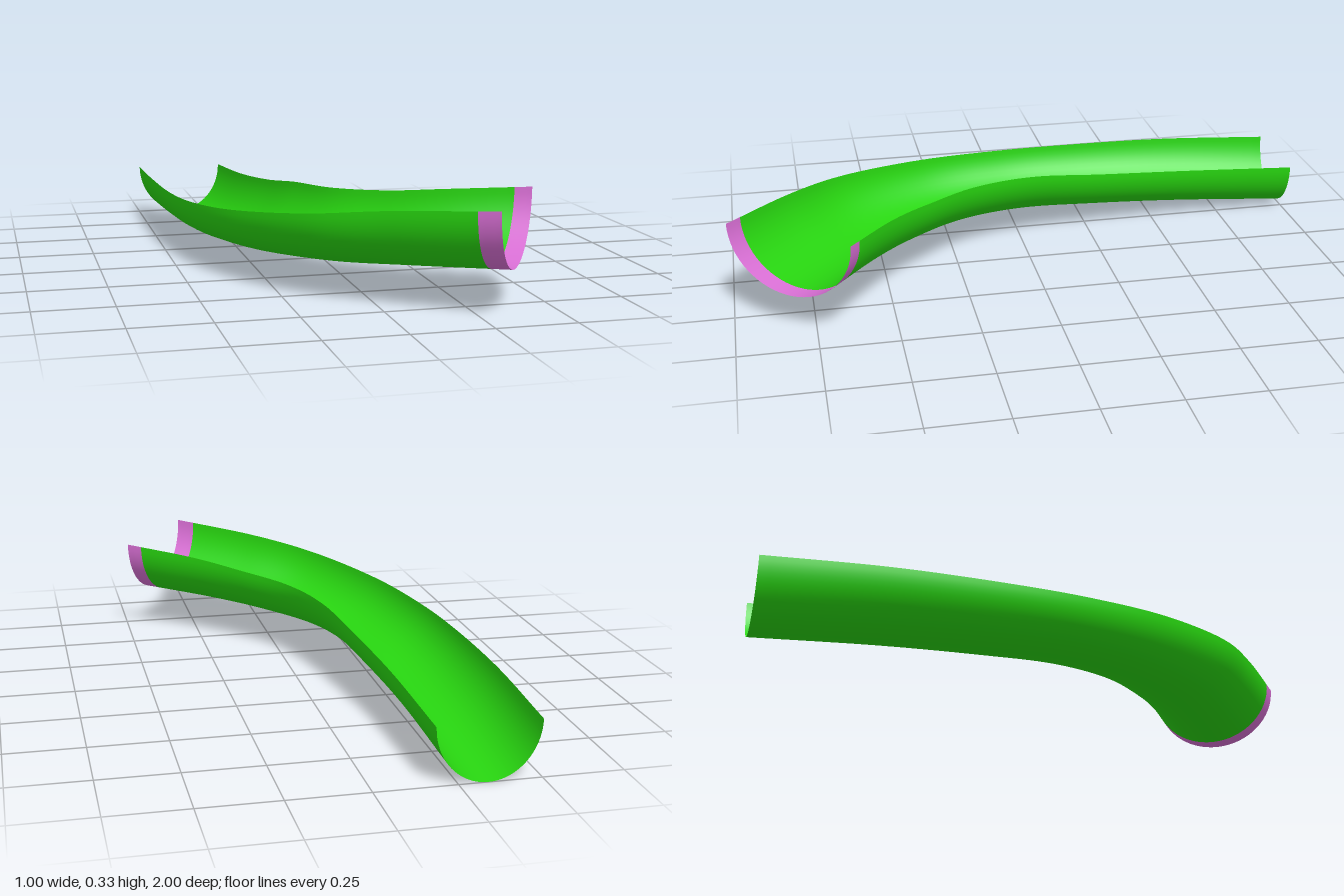
import * as THREE from 'three';

// Stations from the low back end to the high front end:
// [left-hand rim x,y,z], [right-hand rim x,y,z], height of the trough bottom
const STATIONS = [
  [[-0.495, 0.18, -1.0], [-0.18, 0.18, -1.0], 0.002],
  [[-0.5, 0.20, -0.6], [-0.165, 0.205, -0.6], 0.035],
  [[-0.485, 0.21, -0.22], [-0.13, 0.232, -0.28], 0.06],
  [[-0.445, 0.222, 0.06], [-0.085, 0.262, -0.03], 0.08],
  [[-0.36, 0.243, 0.33], [-0.01, 0.274, 0.18], 0.09],
  [[-0.2, 0.275, 0.6], [0.125, 0.288, 0.35], 0.1],
  [[0.0, 0.308, 0.79], [0.28, 0.31, 0.49], 0.113],
  [[0.26, 0.333, 1.0], [0.497, 0.333, 0.64], 0.127],
];

const curve = (points) => new THREE.CatmullRomCurve3(points, false, 'catmullrom', 0.5);
const outerRim = curve(STATIONS.map(([a]) => new THREE.Vector3(...a)));
const innerRim = curve(STATIONS.map(([, b]) => new THREE.Vector3(...b)));
const keel = curve(STATIONS.map(([a, b, y]) =>
  new THREE.Vector3((a[0] + b[0]) / 2, y, (a[2] + b[2]) / 2)));

// Half-elliptical trough between path parameters t0 and t1
function troughGeometry(t0, t1, rows, cols = 32) {
  const positions = [], indices = [];
  for (let i = 0; i <= rows; i++) {
    const t = t0 + (t1 - t0) * i / rows;
    const a = outerRim.getPoint(t), b = innerRim.getPoint(t), k = keel.getPoint(t);
    const depth = (a.y + b.y) / 2 - k.y;
    for (let j = 0; j <= cols; j++) {
      const angle = Math.PI * j / cols;
      const p = a.clone().lerp(b, (1 - Math.cos(angle)) / 2);
      positions.push(p.x, p.y - depth * Math.sin(angle), p.z);
      if (i < rows && j < cols) {
        const n = i * (cols + 1) + j, m = n + cols + 1;
        indices.push(n, m, n + 1, n + 1, m, m + 1);
      }
    }
  }
  const geometry = new THREE.BufferGeometry();
  geometry.setAttribute('position', new THREE.Float32BufferAttribute(positions, 3));
  geometry.setIndex(indices);
  geometry.computeVertexNormals();
  return geometry;
}

export function createModel() {
  const group = new THREE.Group();
  group.name = 'curvedChute';
  const add = (name, color, t0, t1, rows) => {
    const material = new THREE.MeshStandardMaterial({ color, side: THREE.DoubleSide });
    const mesh = new THREE.Mesh(troughGeometry(t0, t1, rows), material);
    mesh.name = name;
    group.add(mesh);
  };
  const bandStart = 0.971;
  add('trough', 0x28d610, 0, bandStart, 72);
  add('endBand', 0xda70d6, bandStart, 1, 3);
  return group;
}
